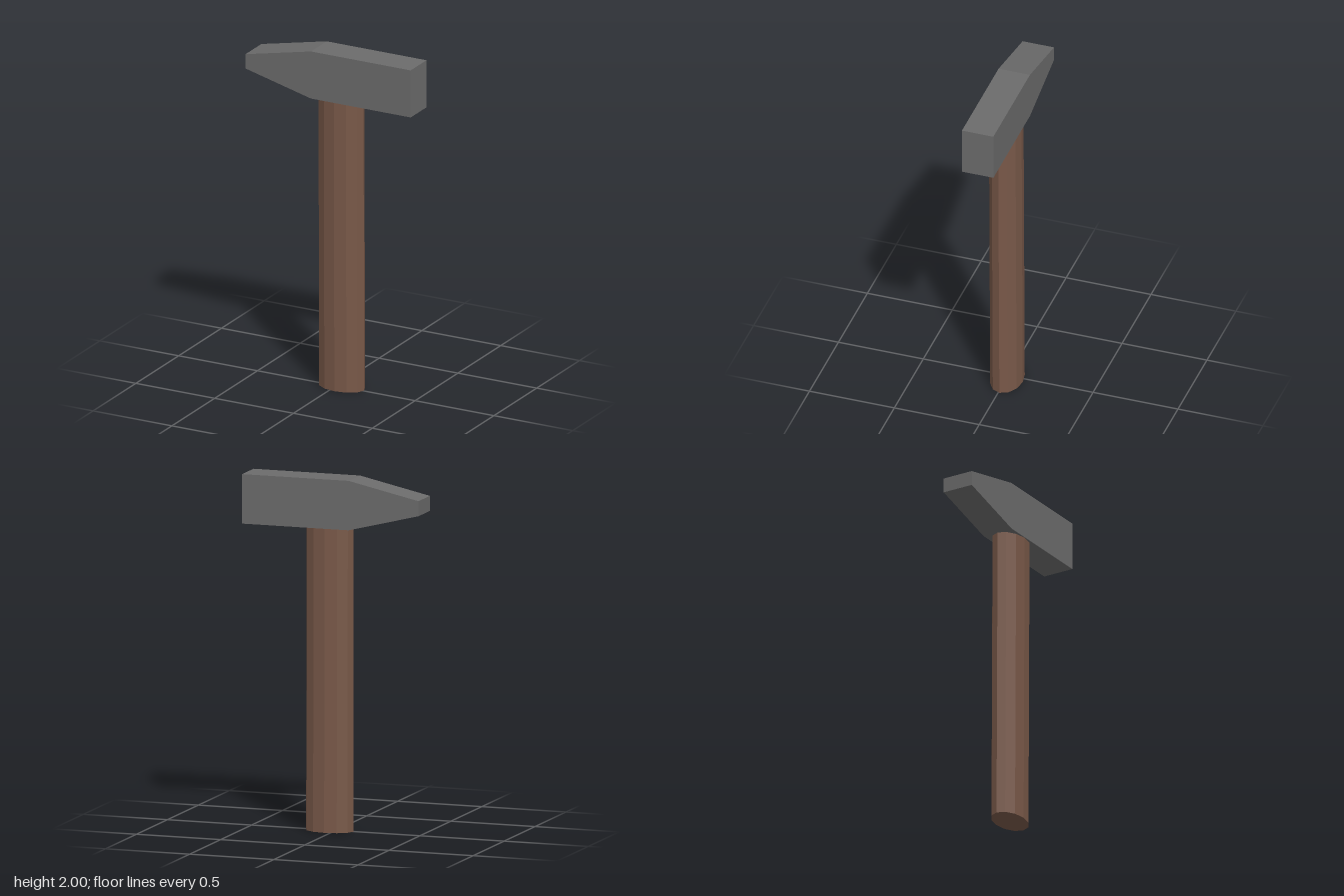
import * as THREE from 'three';

export function createModel() {
  const model = new THREE.Group();
  model.name = 'hammer';

  const steel = new THREE.MeshStandardMaterial({ color: 0x6b6b6b, flatShading: true });
  steel.name = 'grey steel';
  const wood = new THREE.MeshStandardMaterial({ color: 0x785848, flatShading: true });
  wood.name = 'brown wood';

  // Head: side outline with a tapered peen, extruded through its thickness
  const outline = new THREE.Shape([
    [-0.525, 1.825], [-0.11, 1.72], [0.523, 1.72],
    [0.523, 2], [-0.11, 2], [-0.525, 1.91],
  ].map(([x, y]) => new THREE.Vector2(x, y)));
  const headGeometry = new THREE.ExtrudeGeometry(outline, { depth: 0.185, bevelEnabled: false });
  headGeometry.translate(0, 0, -0.091);
  const head = new THREE.Mesh(headGeometry, steel);
  head.name = 'head';

  // Handle: twelve-sided oval shaft, leaning very slightly back at the foot
  const height = 1.725;
  const handleGeometry = new THREE.CylinderGeometry(1, 1, height, 12);
  handleGeometry.scale(0.14, 1, 0.09);
  handleGeometry.translate(0.033, height / 2, 0);
  const position = handleGeometry.attributes.position;
  for (let i = 0; i < position.count; i++) {
    const lean = 0.007 * (1 - position.getY(i) / height);
    position.setZ(i, position.getZ(i) - lean);
  }
  handleGeometry.computeVertexNormals();
  const handle = new THREE.Mesh(handleGeometry, wood);
  handle.name = 'handle';

  model.add(head, handle);
  return model;
}
